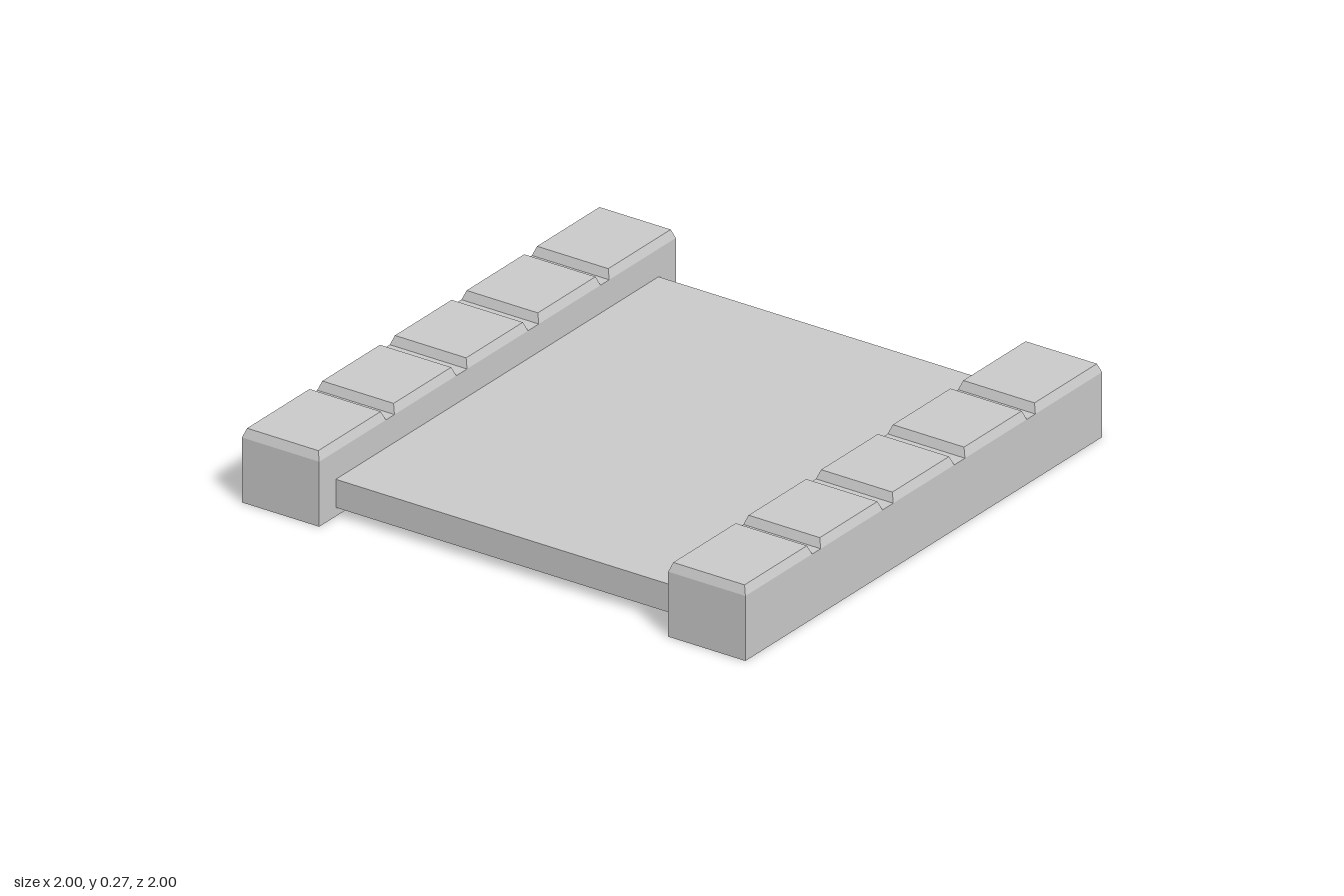
import * as THREE from 'three';

const material = new THREE.MeshStandardMaterial({ color: 0xcccccc, flatShading: true });

// Box spanning the given ranges; the top face may be drawn in to bevel the sides
function block(name, [x0, x1], [y0, y1], [z0, z1], inset = 0) {
  const w = x1 - x0, h = y1 - y0, d = z1 - z0;
  const geometry = new THREE.BoxGeometry(w, h, d);
  const p = geometry.attributes.position;
  for (let i = 0; i < p.count; i++) {
    if (p.getY(i) > 0) {
      p.setX(i, p.getX(i) - Math.sign(p.getX(i)) * inset);
      p.setZ(i, p.getZ(i) - Math.sign(p.getZ(i)) * inset);
    }
  }
  geometry.computeVertexNormals();
  const mesh = new THREE.Mesh(geometry, material);
  mesh.name = name;
  mesh.position.set((x0 + x1) / 2, (y0 + y1) / 2, (z0 + z1) / 2);
  return mesh;
}

export function createModel() {
  const model = new THREE.Group();
  model.name = 'bridgeSection';

  // Flat walkway between the parapets
  model.add(block('deck', [-0.907, 0.903], [0.032, 0.134], [-0.7, 0.7]));

  // Low walls front and back, each capped by five bevelled stones
  const stones = [[-1, -0.626], [-0.578, -0.231], [-0.171, 0.171], [0.231, 0.578], [0.626, 1]];
  for (const [side, z] of [['front', [0.693, 1]], ['back', [-1, -0.693]]]) {
    const parapet = new THREE.Group();
    parapet.name = side + 'Parapet';
    parapet.add(block('wall', [-1, 1], [0, 0.235], z));
    stones.forEach((x, i) => parapet.add(block('capStone' + (i + 1), x, [0.235, 0.267], z, 0.012)));
    model.add(parapet);
  }
  return model;
}
